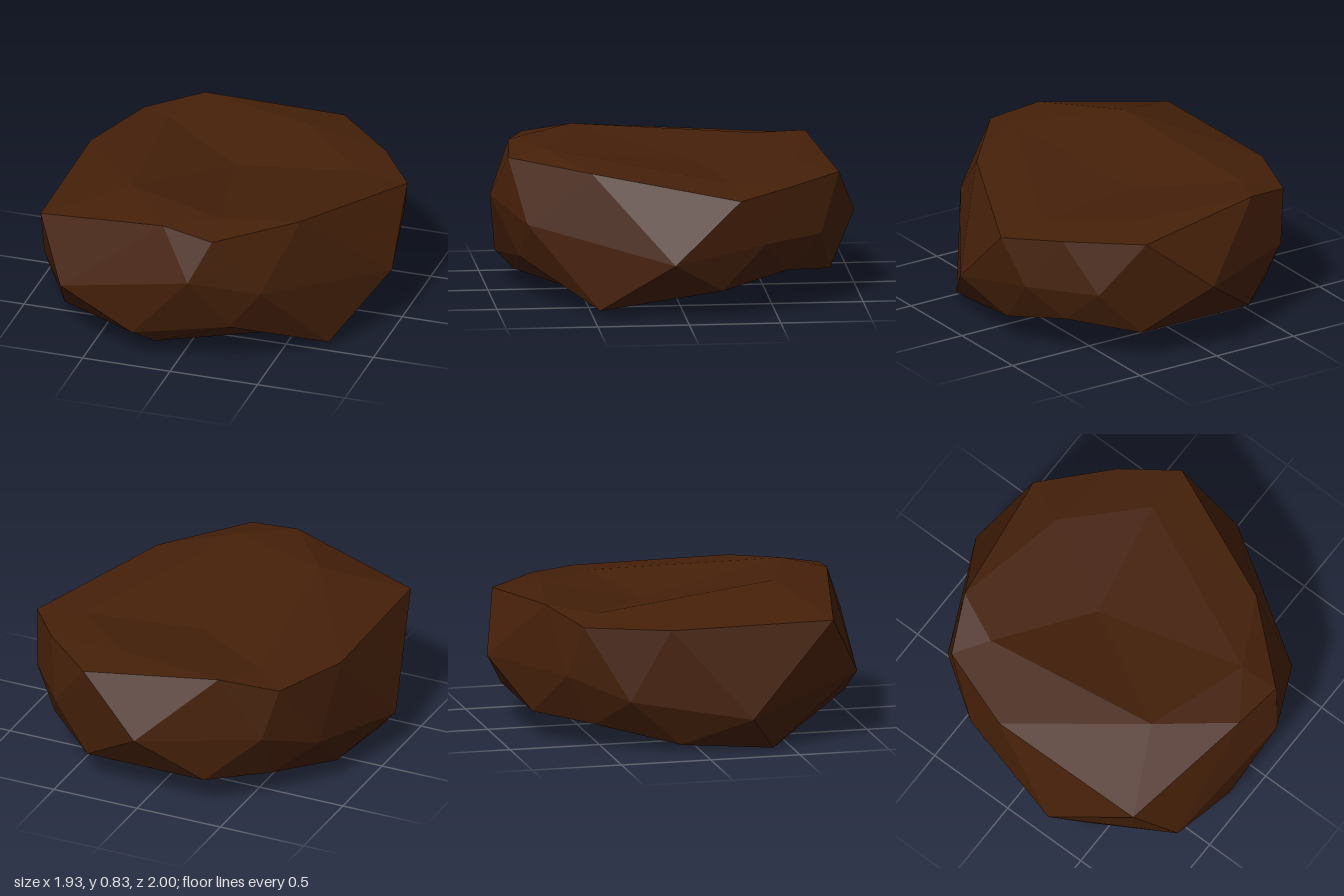
import * as THREE from 'three';

// Cross-section loops, each running from the front -x corner round through +z, +x, -z
const crownCentre = [0, 0.69, -0.15];
const crown = [[-0.38, 0.835, 0.51], [0.19, 0.82, 0.7], [0.66, 0.7, -0.28], [0.27, 0.74, -0.64], [-0.5, 0.735, -0.5]];
const rim = [[-0.83, 0.7, 0.73], [-0.08, 0.82, 0.88], [0.21, 0.78, 0.91], [0.58, 0.76, 0.49], [0.935, 0.665, -0.29],
  [0.72, 0.69, -0.57], [0.38, 0.7, -0.88], [-0.38, 0.77, -0.77], [-0.68, 0.7, -0.63], [-0.84, 0.695, -0.18]];
const waist = [[-0.66, 0.37, 0.905], [0.1, 0.555, 1], [0.46, 0.46, 0.83], [0.965, 0.32, 0.07], [0.87, 0.41, -0.43],
  [0.61, 0.41, -0.76], [0.02, 0.41, -1], [-0.61, 0.42, -0.71], [-0.81, 0.3, -0.4], [-0.965, 0.2, 0.25]];
const foot = [[-0.24, 0.17, 0.94], [0.29, 0.25, 0.86], [0.73, 0.03, 0.46], [0.84, 0.15, -0.2], [0.7, 0.23, -0.57],
  [0.38, 0.165, -0.83], [-0.32, 0.165, -0.83], [-0.6, 0.14, -0.55], [-0.78, 0.04, -0.11], [-0.8, 0, 0.4]];
const base = [[-0.14, 0.085, 0.84], [0.56, 0.02, 0.33], [0.45, 0.22, -0.42], [-0.58, 0.035, 0.16]];
const baseCentre = [0.09, 0.18, -0.16];

const gap = (a, b) => Math.hypot(a[0] - b[0], a[1] - b[1], a[2] - b[2]);

// Joins two loops of different counts, always taking the shorter diagonal
function stitch(upper, lower) {
  const tris = [];
  let i = 0, j = 0;
  while (i < upper.length || j < lower.length) {
    const a = upper[i % upper.length], a2 = upper[(i + 1) % upper.length];
    const b = lower[j % lower.length], b2 = lower[(j + 1) % lower.length];
    const stepUpper = j === lower.length || (i < upper.length && gap(a2, b) < gap(a, b2));
    if (stepUpper) { tris.push(a, b, a2); i++; }
    else { tris.push(a, b, b2); j++; }
  }
  return tris;
}

// Closes a loop with a fan about a centre point
function fan(loop, centre, down) {
  return loop.flatMap((p, i) => {
    const q = loop[(i + 1) % loop.length];
    return down ? [centre, q, p] : [centre, p, q];
  });
}

export function createModel() {
  // Hollowed top, faceted sides and hollowed underside
  const corners = [
    ...fan(crown, crownCentre, false),
    ...stitch(crown, rim),
    ...stitch(rim, waist),
    ...stitch(waist, foot),
    ...stitch(foot, base),
    ...fan(base, baseCentre, true),
  ];
  const geometry = new THREE.BufferGeometry();
  geometry.setAttribute('position', new THREE.Float32BufferAttribute(corners.flat(), 3));
  geometry.computeVertexNormals();

  const darkBrown = new THREE.MeshStandardMaterial({ color: 0x452009 });
  darkBrown.name = 'darkBrown';
  darkBrown.flatShading = true;

  const rock = new THREE.Mesh(geometry, darkBrown);
  rock.name = 'rock';
  const group = new THREE.Group();
  group.name = 'boulder';
  group.add(rock);
  return group;
}
